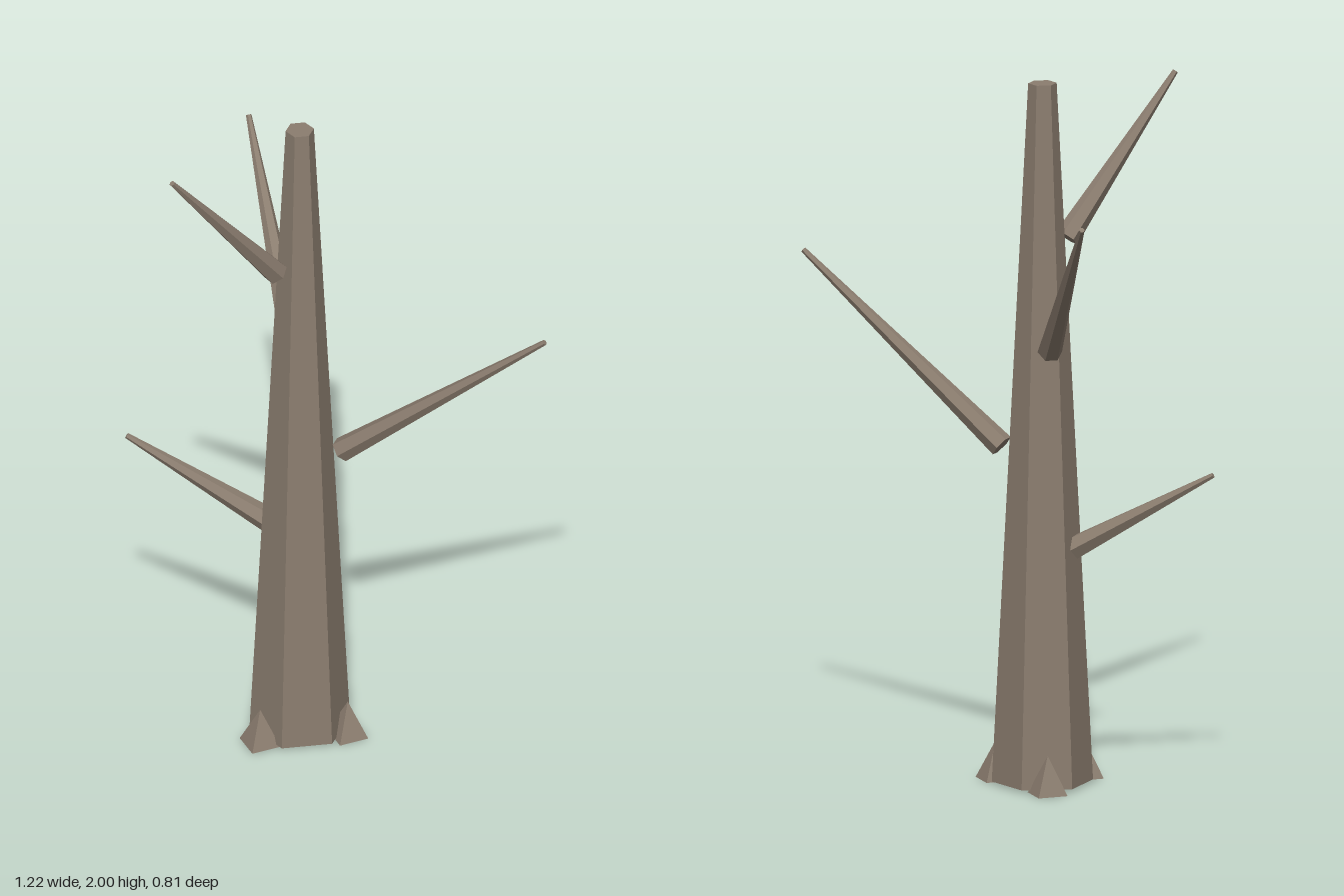
import * as THREE from 'three';

export function createModel() {
  const tree = new THREE.Group();
  tree.name = 'bareTree';
  const bark = new THREE.MeshStandardMaterial({ color: 0x8b7d6f, flatShading: true });

  // Everything is arranged around the trunk axis
  const axis = new THREE.Group();
  axis.name = 'treeAxis';
  axis.position.set(-0.123, 0, 0.04);
  tree.add(axis);

  // Tapered six-sided trunk
  const trunk = new THREE.Mesh(new THREE.CylinderGeometry(0.04, 0.142, 1.992, 6), bark);
  trunk.name = 'trunk';
  trunk.position.y = 1.004;
  axis.add(trunk);

  // Three pointed roots spaced evenly round the base
  for (let i = 0; i < 3; i++) {
    const a = (i * Math.PI * 2) / 3;
    const root = new THREE.Mesh(new THREE.ConeGeometry(0.061, 0.11, 4), bark);
    root.name = 'root' + (i + 1);
    root.position.set(Math.cos(a) * 0.143, 0.055, Math.sin(a) * 0.143);
    axis.add(root);
  }

  // Branches: heading in degrees, then distance from the axis and height of base and tip
  const branches = [
    [0, 0.124, 0.953, 0.73, 1.458],
    [125, 0.08, 1.55, 0.432, 1.985],
    [170.6, 0.09, 0.677, 0.492, 0.907],
    [234.2, 0.102, 1.255, 0.542, 1.697],
  ];
  branches.forEach(([heading, d0, y0, d1, y1], i) => {
    const pivot = new THREE.Group();
    pivot.name = 'branch' + (i + 1);
    pivot.rotation.y = -THREE.MathUtils.degToRad(heading);
    const length = Math.hypot(d1 - d0, y1 - y0);
    const branch = new THREE.Mesh(new THREE.CylinderGeometry(0.008, 0.035, length, 6), bark);
    branch.name = 'branchLimb' + (i + 1);
    branch.position.set((d0 + d1) / 2, (y0 + y1) / 2, 0);
    branch.rotation.z = -Math.atan2(d1 - d0, y1 - y0);
    pivot.add(branch);
    axis.add(pivot);
  });

  return tree;
}
